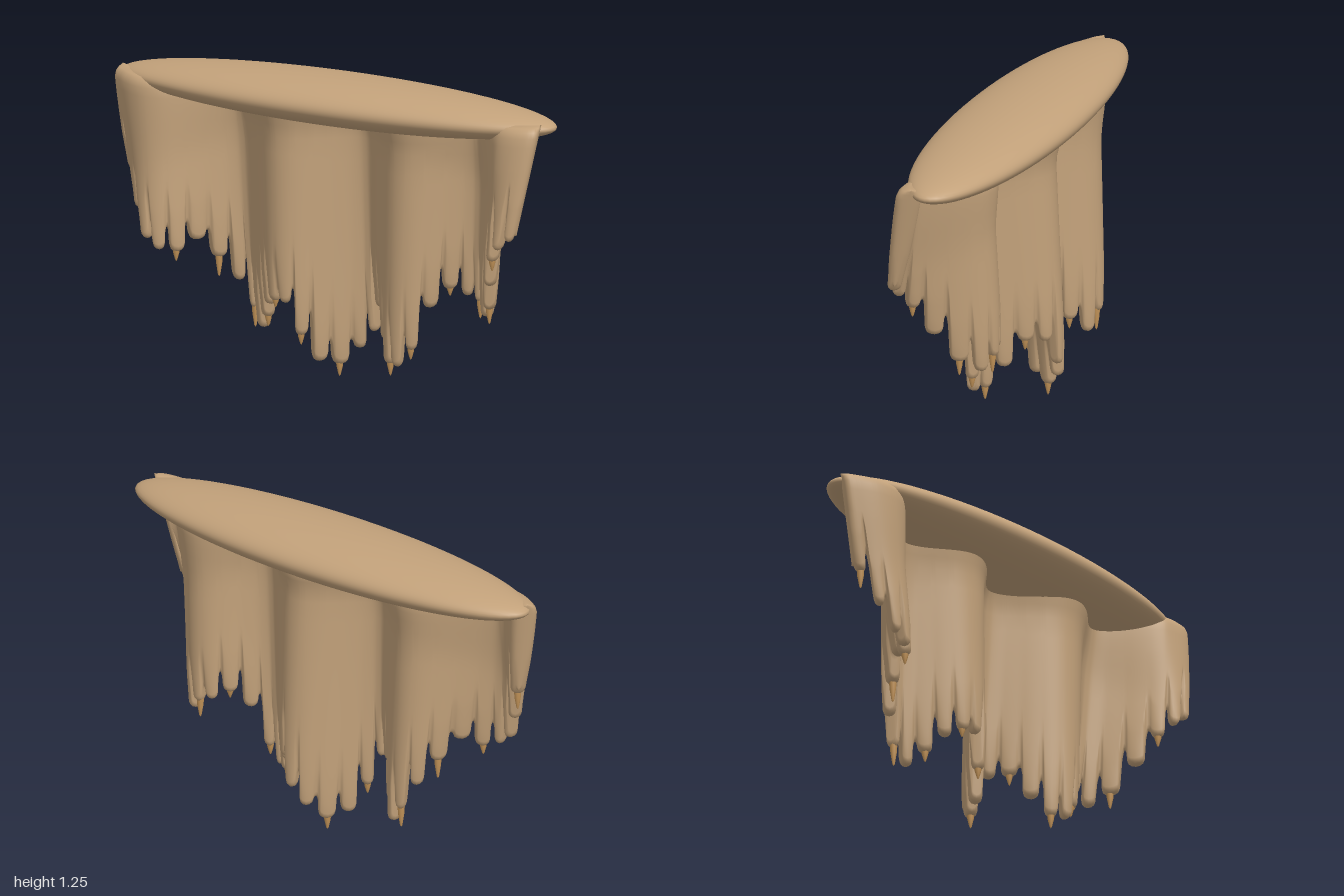
import * as THREE from 'three';
import { mergeVertices } from 'three/addons/utils/BufferGeometryUtils.js';

const stone = new THREE.MeshStandardMaterial({ color: 0xc2a17a });
stone.name = 'tan stone';
const wetStone = new THREE.MeshStandardMaterial({ color: 0xc6965a });
wetStone.name = 'amber stone';

// Drips along the lower edge: x, tip height, optional height of the thin point below it
const drips = [
  [-0.895, 0.77, 0.7], [-0.845, 0.63], [-0.8, 0.52], [-0.74, 0.48], [-0.69, 0.47, 0.43],
  [-0.635, 0.51], [-0.585, 0.43, 0.35], [-0.53, 0.33], [-0.475, 0.22, 0.14], [-0.425, 0.15],
  [-0.37, 0.21, 0.17], [-0.32, 0.28], [-0.27, 0.31, 0.28], [-0.21, 0.31], [-0.16, 0.18, 0.14],
  [-0.11, 0.07], [-0.06, 0.05, 0], [0, 0.11], [0.05, 0.18], [0.105, 0.29],
  [0.16, 0.3, 0.26], [0.21, 0.2], [0.262, 0.12, 0.07], [0.315, 0.12], [0.365, 0.19, 0.15],
  [0.42, 0.36], [0.475, 0.43, 0.4], [0.53, 0.4], [0.58, 0.38, 0.31], [0.63, 0.33],
  [0.685, 0.38, 0.32], [0.74, 0.5], [0.79, 0.62, 0.58], [0.84, 0.68], [0.89, 0.72],
];

const { lerp, smoothstep, clamp } = THREE.MathUtils;
const round = (t) => Math.sqrt(Math.max(0, 1 - (1 - clamp(t, 0, 1)) ** 2));

// Folded path of the curtain's lower edge seen from above
const foldZ = (x) => -0.07 + 0.185 * x * x + 0.115 * Math.cos((2 * Math.PI * (x - 0.315)) / 0.533);

// At the top the folds are shallower and the ends tuck in under the cap
function topZ(x) {
  const limit = 0.04 + 0.14 * Math.sqrt(Math.max(0, 1 - (1.07 * x) ** 2));
  const z = foldZ(x) * 0.72;
  return 0.5 * (z + limit - Math.hypot(z - limit, 0.02));
}

const topY = (x) => 1.15 + 0.04 * x * x;

// Smooth average of the tip heights, so neighbouring columns slope alike
function baseY(x) {
  let sum = 0, total = 0;
  for (const [dx, tip] of drips) {
    const weight = Math.exp(-(((x - dx) / 0.07) ** 2));
    sum += weight * tip;
    total += weight;
  }
  return sum / total;
}

// Centre of the sheet at a column and height
function centre(x, base, y) {
  const h = (y - base) / (topY(x) - base);
  return [x * lerp(1, 1.07, h), lerp(foldZ(x), topZ(x), h), h];
}

// Columns across the curtain, denser where each drip rounds off
function makeColumns() {
  const columns = [];
  const last = drips.length - 1;
  drips.forEach(([x, tip], i) => {
    const left = i ? (x + drips[i - 1][0]) / 2 : x - 0.025;
    const right = i < last ? (x + drips[i + 1][0]) / 2 : x + 0.025;
    // notches shared with the neighbouring drips
    const notch = (k) => Math.max(drips[k][1], drips[k + 1][1]) + 0.03 + 0.06 * Math.abs(Math.sin(k * 2.3 + 1));
    for (const s of [-1, -0.92, -0.8, -0.72, -0.6, -0.35, 0, 0.35, 0.6, 0.72, 0.8, 0.92, 1]) {
      if (s === -1 && i > 0) continue;
      const outer = (i === 0 && s < 0) || (i === last && s > 0);
      const r = Math.abs(s);
      let bottom = tip + 0.025 * (1 - Math.sqrt(1 - Math.min(1, r / 0.72) ** 2));
      // side of the drip climbing into the arched notch
      if (r > 0.72 && !outer) {
        bottom = lerp(bottom, notch(s > 0 ? i : i - 1), round((r - 0.72) / 0.28));
      }
      columns.push({
        x: lerp(left, right, (s + 1) / 2), s, bottom,
        edge: outer ? Math.sqrt(1 - s * s) : 1,
      });
    }
  });
  return columns;
}

// Closed thin sheet: each column is a loop down the front and up the back
function makeCurtain() {
  const columns = makeColumns();
  const low = [0.13, 0.07, 0.025, 0.012, 0.004, 0];
  const positions = [], index = [];
  let ring = 0;
  for (const { x, s, bottom, edge } of columns) {
    const top = topY(x);
    const base = baseY(x);
    const heights = [0, 0.008, 0.022, 0.045, 0.08, 0.12, 0.17].map((d) => top - d);
    const from = top - 0.17, to = bottom + 0.13;
    for (let k = 1; k < 8; k++) heights.push(lerp(from, to, k / 8));
    low.forEach((d) => heights.push(bottom + d));

    const slope = (foldZ(x + 0.002) - foldZ(x - 0.002)) / 0.004;
    const len = Math.hypot(slope, 1);
    const wave = 0.5 - 0.5 * Math.cos(Math.PI * s);
    const front = [], back = [];
    for (const y of heights) {
      const [cx, cz, h] = centre(x, base, y);
      const d = y - bottom;
      const flute = lerp(
        0.82 * Math.sqrt(Math.max(0.3, 1 - s * s)),
        1 - 0.08 * wave * clamp(1 - h, 0, 1) ** 2,
        smoothstep(d, 0, 0.16),
      );
      const flare = 0.026 * smoothstep(y, lerp(1, 0.6, x * x), 1.13) * (1 - 0.4 * x * x);
      const half = (0.032 * flute + flare) * edge * round(d / 0.025) * round((top - y) / 0.045);
      const nx = (-slope / len) * half, nz = half / len;
      front.push([cx + nx, y, cz + nz]);
      back.unshift([cx - nx, y, cz - nz]);
    }
    const loop = [...front, ...back];
    ring = loop.length;
    loop.forEach((p) => positions.push(...p));
  }
  for (let i = 0; i < columns.length - 1; i++) {
    for (let j = 0; j < ring; j++) {
      const k = (j + 1) % ring;
      const a = i * ring + j, b = i * ring + k;
      index.push(a, b, b + ring, a, b + ring, a + ring);
    }
  }
  const geometry = new THREE.BufferGeometry();
  geometry.setAttribute('position', new THREE.Float32BufferAttribute(positions, 3));
  geometry.setIndex(index);
  const merged = mergeVertices(geometry, 1e-5);
  merged.computeVertexNormals();
  return merged;
}

export function createModel() {
  const model = new THREE.Group();
  model.name = 'caveDrapery';

  // Flattened cap the curtain hangs from
  const capGeometry = new THREE.SphereGeometry(1, 72, 36);
  capGeometry.scale(1, 0.095, 0.247);
  const cap = new THREE.Mesh(capGeometry, stone);
  cap.name = 'cap';
  cap.position.y = 1.155;
  model.add(cap);

  const curtain = new THREE.Mesh(makeCurtain(), stone);
  curtain.name = 'curtain';
  model.add(curtain);

  // Thin pointed tips under some of the drips
  const tips = new THREE.Group();
  tips.name = 'dripTips';
  for (const [x, y, point] of drips) {
    if (point === undefined) continue;
    const length = y + 0.025 - point;
    const profile = [[0, 0], [0.005, 0.008], [0.013, length * 0.55], [0.016, length]]
      .map(([r, h]) => new THREE.Vector2(r, h));
    const tip = new THREE.Mesh(new THREE.LatheGeometry(profile, 10), wetStone);
    tip.name = 'dripTip';
    const [cx, cz] = centre(x, baseY(x), y);
    tip.position.set(cx, point, cz);
    tips.add(tip);
  }
  model.add(tips);
  return model;
}
